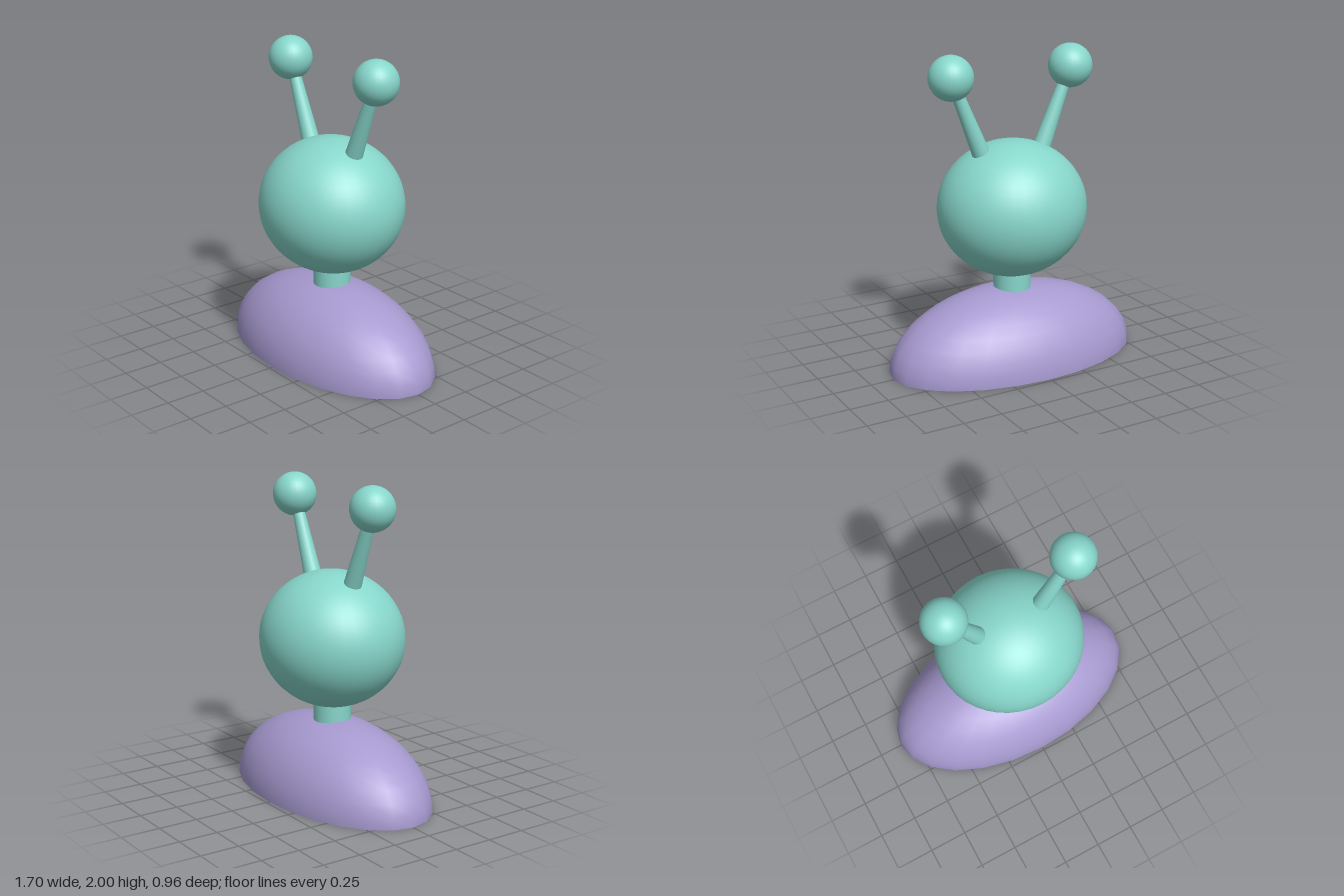
import * as THREE from 'three';

export function createModel() {
  const model = new THREE.Group();
  const teal = new THREE.MeshStandardMaterial({ color: 0x87d6cb, side: THREE.DoubleSide });
  teal.name = 'teal';
  const lilac = new THREE.MeshStandardMaterial({ color: 0xa79ad0, side: THREE.DoubleSide });
  lilac.name = 'lilac';

  const add = (name, geometry, material, parent = model) => {
    const mesh = new THREE.Mesh(geometry, material);
    mesh.name = name;
    parent.add(mesh);
    return mesh;
  };

  // Hollow half-ellipsoid shoulders, open underneath
  const shoulders = new THREE.SphereGeometry(1, 24, 10, 0, Math.PI * 2, 0, Math.PI / 2);
  add('shoulders', shoulders.scale(0.85, 0.48, 0.48), lilac);

  // Neck passes through the dome into the head
  const neck = new THREE.CylinderGeometry(0.12, 0.12, 0.42, 24, 1, true);
  add('neck', neck.translate(0, 0.43, 0), teal);

  // Slightly flattened head
  const head = new THREE.SphereGeometry(1, 40, 28).scale(0.48, 0.435, 0.452);
  add('head', head.translate(0, 0.995, 0), teal);

  // Tapered antennae with ball tips, leaning outward
  for (const [side, label] of [[1, 'left'], [-1, 'right']]) {
    const antenna = new THREE.Group();
    antenna.name = label + 'Antenna';
    const base = new THREE.Vector3(side * 0.19, 1.3, 0);
    const tip = new THREE.Vector3(side * 0.42, 1.86, 0);
    const axis = tip.clone().sub(base);
    const stalk = add('stalk', new THREE.CylinderGeometry(0.033, 0.06, axis.length(), 20), teal, antenna);
    stalk.position.copy(base).add(tip).multiplyScalar(0.5);
    stalk.quaternion.setFromUnitVectors(new THREE.Vector3(0, 1, 0), axis.normalize());
    add('ball', new THREE.SphereGeometry(0.14, 28, 20), teal, antenna).position.copy(tip);
    model.add(antenna);
  }
  return model;
}
